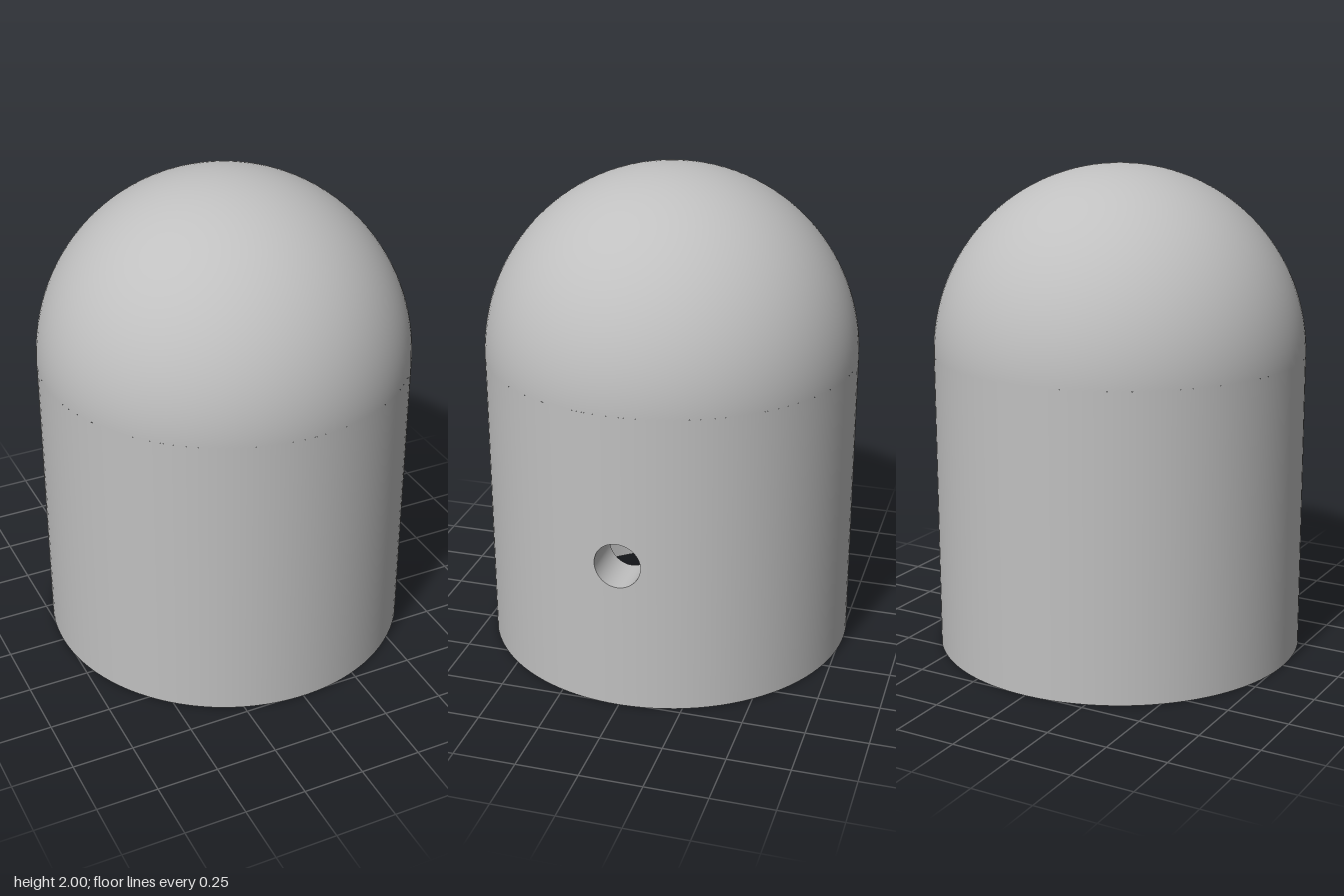
import * as THREE from 'three';

const R = 0.762, BORE = 0.571, WALL_H = 1.238;   // outer radius, bore radius, straight wall height
const HOLE_R = 0.093, HOLE_Y = 0.62;             // side hole on +x
const PATCH = 0.3;                               // half angle of the wall section holding the hole
const SEG = 96;

// Surface from rows of points; fn(u, v) gives a position and a normal, faces follow the normals.
function surface(fn, nu, nv) {
  const pos = [], nor = [], idx = [];
  for (let j = 0; j <= nv; j++) for (let i = 0; i <= nu; i++) {
    const [p, n] = fn(i / nu, j / nv);
    pos.push(...p);
    nor.push(...n);
  }
  const at = (list, k) => new THREE.Vector3().fromArray(list, k * 3);
  const a0 = at(pos, 0);
  const turn = at(pos, 1).sub(a0).cross(at(pos, nu + 1).sub(a0));
  const flip = turn.dot(at(nor, 0)) < 0;
  for (let j = 0; j < nv; j++) for (let i = 0; i < nu; i++) {
    const a = j * (nu + 1) + i, b = a + 1, c = a + nu + 1, d = c + 1;
    idx.push(...(flip ? [a, c, b, b, c, d] : [a, b, c, b, d, c]));
  }
  const g = new THREE.BufferGeometry();
  g.setAttribute('position', new THREE.Float32BufferAttribute(pos, 3));
  g.setAttribute('normal', new THREE.Float32BufferAttribute(nor, 3));
  g.setIndex(idx);
  return g;
}

// Point on a wall of radius r; side is +1 for outward faces, -1 for inward ones.
function onWall(r, angle, y, side) {
  const c = Math.cos(angle), s = Math.sin(angle);
  return [[r * c, y, r * s], [side * c, 0, side * s]];
}

// Plain wall all round except for the section with the hole
const plainWall = (r, side) => surface((u, v) =>
  onWall(r, PATCH + u * 2 * (Math.PI - PATCH), v * WALL_H, side), SEG, 1);

// Wall section whose loops widen from the round hole to a rectangle
const holedWall = (r, side) => surface((u, v) => {
  const t = u * Math.PI * 2, c = Math.cos(t), s = Math.sin(t);
  const m = Math.max(Math.abs(c), Math.abs(s));
  const edgeY = WALL_H / 2 * (1 + s / m);
  const angle = THREE.MathUtils.lerp(Math.asin(HOLE_R * c / r), PATCH * c / m, v);
  return onWall(r, angle, THREE.MathUtils.lerp(HOLE_Y + HOLE_R * s, edgeY, v), side);
}, 64, 10);

// Lining of the side hole, from the bore to the outer face
const holeLining = () => surface((u, v) => {
  const t = u * Math.PI * 2, c = Math.cos(t), s = Math.sin(t), z = HOLE_R * c;
  const r = v ? R : BORE;
  return [[Math.sqrt(r * r - z * z), HOLE_Y + HOLE_R * s, z], [0, -s, -c]];
}, 64, 1);

export function createModel() {
  const model = new THREE.Group();
  model.name = 'domedCap';
  const grey = new THREE.MeshStandardMaterial({ color: 0xc0c0c0 });
  grey.name = 'grey';

  const add = (name, geometry) => {
    const mesh = new THREE.Mesh(geometry, grey);
    mesh.name = name;
    model.add(mesh);
    return mesh;
  };

  // Outer shell
  add('outerWall', plainWall(R, 1));
  add('outerWallWithHole', holedWall(R, 1));
  const dome = add('dome', new THREE.SphereGeometry(R, SEG, 32, 0, Math.PI * 2, 0, Math.PI / 2));
  dome.position.y = WALL_H;

  // Hollow inside
  add('boreWall', plainWall(BORE, -1));
  add('boreWallWithHole', holedWall(BORE, -1));
  add('sideHole', holeLining());
  const ceiling = add('boreCeiling', new THREE.CircleGeometry(BORE, SEG));
  ceiling.rotation.x = Math.PI / 2;
  ceiling.position.y = WALL_H;

  // Flat rim it stands on
  const rim = add('bottomRim', new THREE.RingGeometry(BORE, R, SEG));
  rim.rotation.x = Math.PI / 2;

  return model;
}
